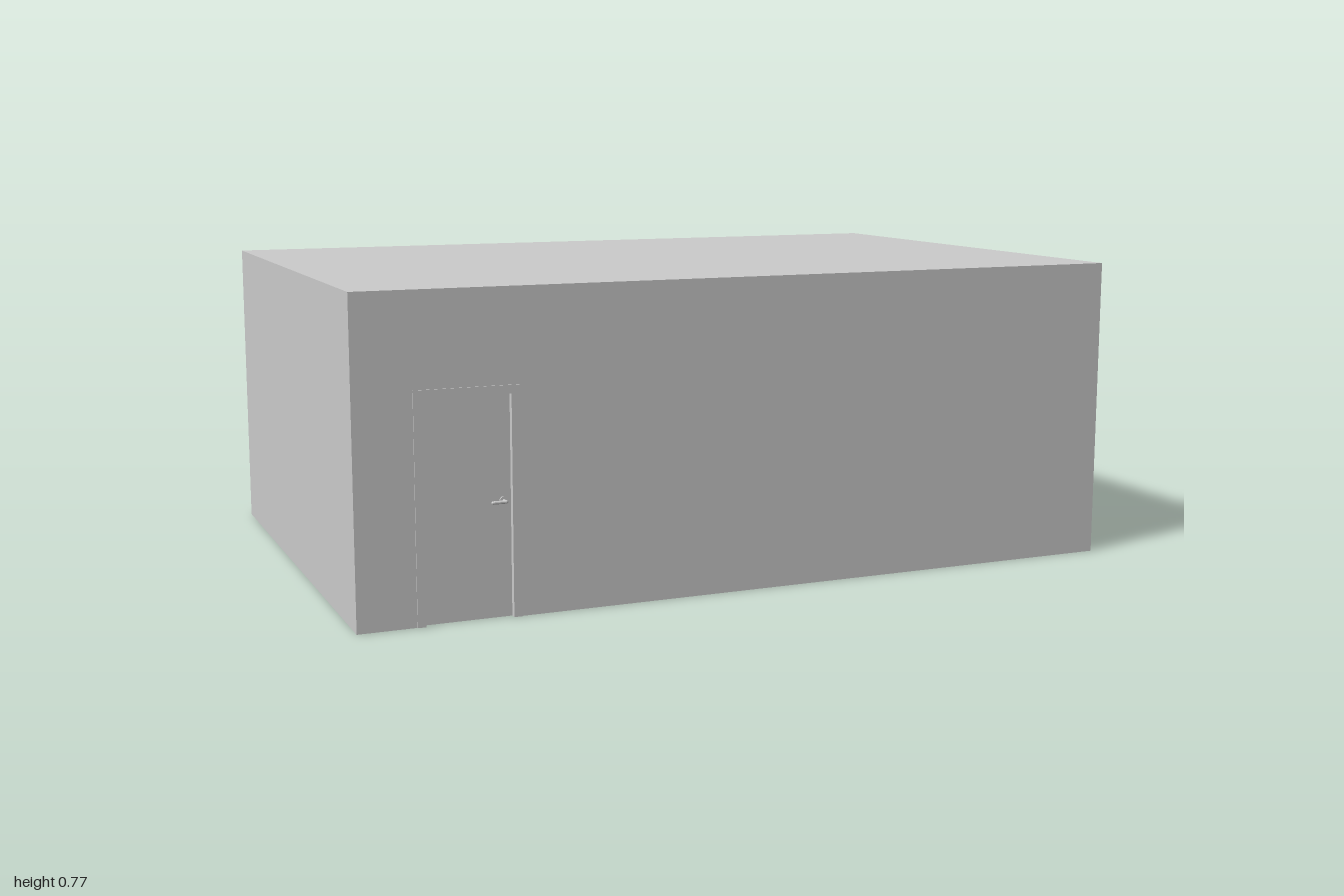
import * as THREE from 'three';

const mat = new THREE.MeshStandardMaterial({ color: 0xcccccc, flatShading: true });
const H = 0.77, T = 0.03, SLAB = 0.015;             // height, wall and slab thickness
const X0 = -1, X1 = 0.99, Z0 = -0.66, Z1 = 0.655;   // outer wall faces
const DOOR_W = 0.21, DOOR_H = 0.525, RECESS = 0.012;

function add(parent, name, geometry, x = 0, y = 0, z = 0) {
  const mesh = new THREE.Mesh(geometry, mat);
  mesh.name = name;
  mesh.position.set(x, y, z);
  parent.add(mesh);
  return mesh;
}

// Upright panel from a to b with a doorway cut up from its lower edge; outer face at z = 0
function archPanel(a, b, top, doorX, doorW, doorH, depth) {
  const pts = [[a, 0]];
  if (doorX !== null) {
    const l = doorX - doorW / 2, r = doorX + doorW / 2;
    pts.push([l, 0], [l, doorH], [r, doorH], [r, 0]);
  }
  pts.push([b, 0], [b, top], [a, top]);
  const shape = new THREE.Shape(pts.map(p => new THREE.Vector2(...p)));
  return new THREE.ExtrudeGeometry(shape, { depth, bevelEnabled: false }).translate(0, 0, -depth);
}

// Lever handle: rosette, neck and a bar reaching towards the door's middle
function handle(side) {
  const g = new THREE.Group();
  g.name = 'doorHandle';
  add(g, 'rosette', new THREE.CylinderGeometry(0.01, 0.01, 0.004, 16).rotateX(Math.PI / 2), 0, 0, 0.002);
  add(g, 'neck', new THREE.CylinderGeometry(0.004, 0.004, 0.016, 12).rotateX(Math.PI / 2), 0, 0, 0.01);
  add(g, 'lever', new THREE.CapsuleGeometry(0.004, 0.032, 4, 10).rotateZ(Math.PI / 2), -side * 0.014, 0, 0.017);
  return g;
}

// One wall facing local +z, with an optional recessed door
function wall(name, a, b, door) {
  const g = new THREE.Group();
  g.name = name;
  add(g, 'wallPanel', archPanel(a, b, H - SLAB, door ? door.x : null, DOOR_W, DOOR_H, T));
  if (door) {
    const { x, side, frame } = door;
    add(g, 'door', new THREE.BoxGeometry(DOOR_W, DOOR_H, 0.012), x, DOOR_H / 2, -RECESS - 0.006);
    // Casing standing slightly proud of the wall
    if (frame) {
      const casing = archPanel(x - 0.125, x + 0.125, 0.545, x, DOOR_W, DOOR_H, 0.004);
      add(g, 'doorFrame', casing, 0, 0, 0.003);
    }
    const h = handle(side);
    h.position.set(x + side * 0.087, 0.275, -RECESS);
    g.add(h);
  }
  return g;
}

export function createModel() {
  const model = new THREE.Group();
  model.name = 'building';

  // Front and back walls run the full length
  const front = wall('frontWall', X0, X1, { x: -0.735, side: 1, frame: true });
  front.position.z = Z1;
  const back = wall('backWall', -X1, -X0, { x: 0.735, side: -1, frame: false });
  back.rotation.y = Math.PI;
  back.position.z = Z0;

  // End walls fit between them
  const left = wall('leftWall', -Z1 + T, -Z0 - T, { x: -0.25, side: 1, frame: true });
  left.rotation.y = Math.PI / 2;
  left.position.x = X1;
  const right = wall('rightWall', Z0 + T, Z1 - T, null);
  right.rotation.y = -Math.PI / 2;
  right.position.x = X0;
  model.add(front, back, left, right);

  // Flat roof and floor
  const cx = (X0 + X1) / 2, cz = (Z0 + Z1) / 2;
  add(model, 'roof', new THREE.BoxGeometry(X1 - X0, SLAB, Z1 - Z0), cx, H - SLAB / 2, cz);
  add(model, 'floor', new THREE.BoxGeometry(X1 - X0 - 2 * T, SLAB, Z1 - Z0 - 2 * T), cx, SLAB / 2, cz);
  return model;
}
